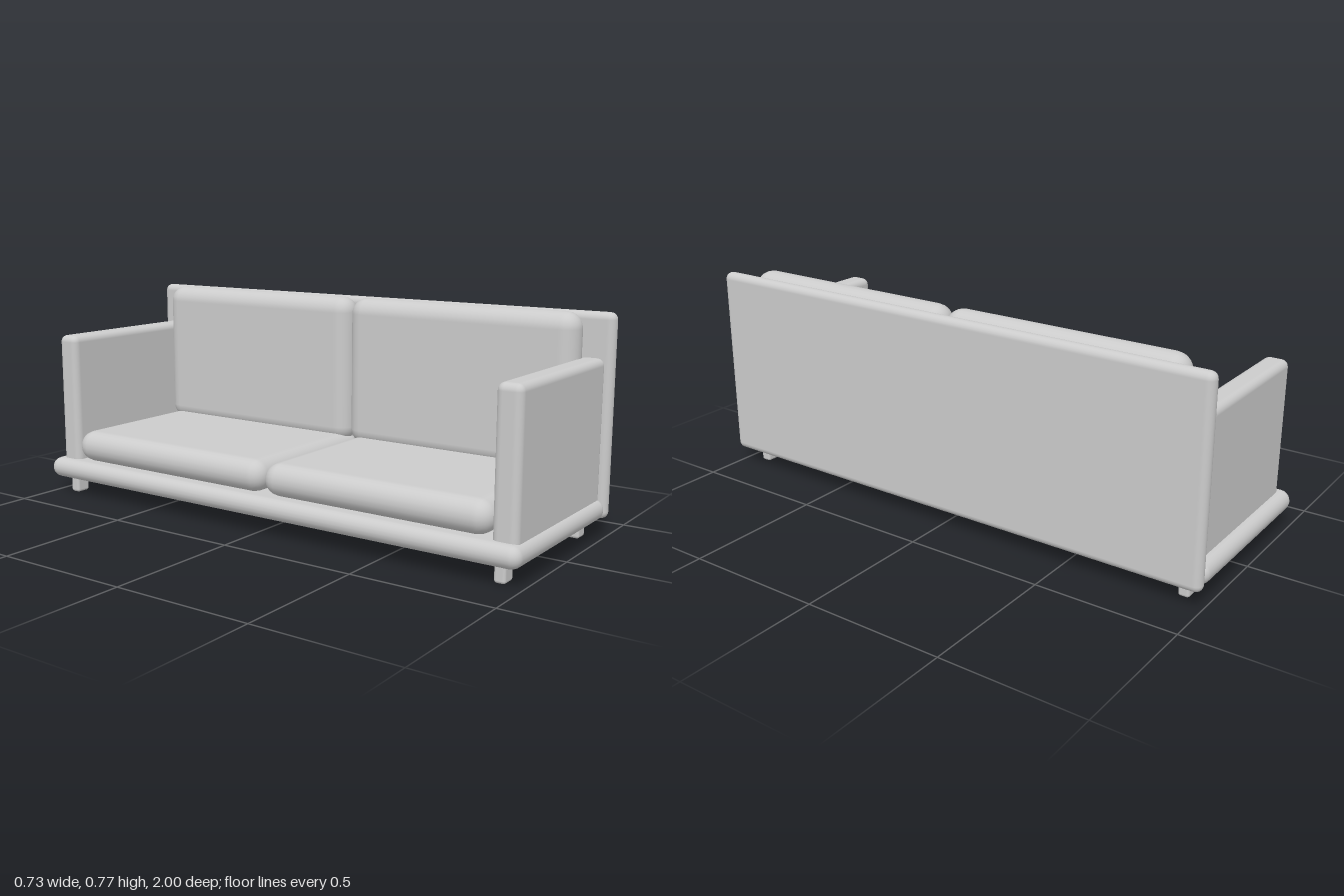
import * as THREE from 'three';
import { RoundedBoxGeometry } from 'three/addons/geometries/RoundedBoxGeometry.js';

const material = new THREE.MeshStandardMaterial({ color: 0xcccccc });

// Rounded box given by its extents along each axis
function softBox(name, [x0, x1], [y0, y1], [z0, z1], radius, segments = 3) {
  const geometry = new RoundedBoxGeometry(x1 - x0, y1 - y0, z1 - z0, segments, radius);
  const mesh = new THREE.Mesh(geometry, material);
  mesh.name = name;
  mesh.position.set((x0 + x1) / 2, (y0 + y1) / 2, (z0 + z1) / 2);
  return mesh;
}

export function createModel() {
  const sofa = new THREE.Group();
  sofa.name = 'sofa';

  // Platform and back panel; the seat opens towards -x
  sofa.add(softBox('base', [-0.367, 0.327], [0.061, 0.137], [-1, 1], 0.038));
  sofa.add(softBox('backPanel', [0.314, 0.365], [0.06, 0.768], [-1, 1], 0.0255));

  // Arms, sunk slightly into the platform
  sofa.add(softBox('armRight', [-0.328, 0.316], [0.1, 0.617], [-0.96, -0.872], 0.025));
  sofa.add(softBox('armLeft', [-0.328, 0.316], [0.1, 0.617], [0.89, 0.978], 0.025));

  // Seat cushions
  for (const [side, z] of [['Right', [-0.87, 0.025]], ['Left', [0.025, 0.89]]]) {
    sofa.add(softBox('seatCushion' + side, [-0.347, 0.31], [0.137, 0.253], z, 0.058));
  }

  // Back cushions, resting on the seat
  for (const [side, z] of [['Right', [-0.877, 0.018]], ['Left', [0.018, 0.912]]]) {
    sofa.add(softBox('backCushion' + side, [0.195, 0.311], [0.22, 0.772], z, 0.058));
  }

  // Four short feet
  for (const x of [[-0.315, -0.257], [0.245, 0.3]]) {
    for (const z of [[-0.937, -0.897], [0.897, 0.937]]) {
      sofa.add(softBox('leg', x, [0, 0.075], z, 0.01, 2));
    }
  }
  return sofa;
}
